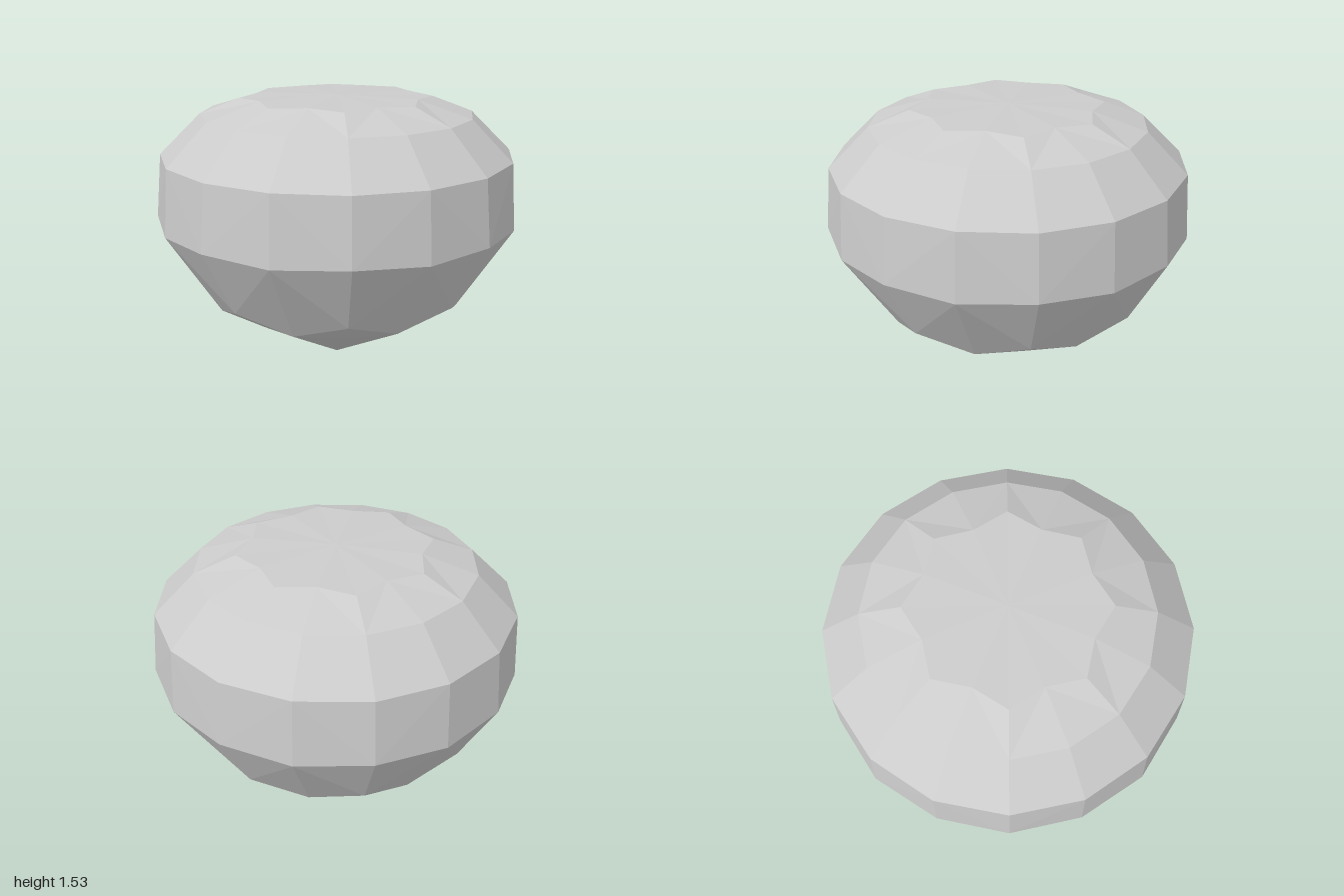
import * as THREE from 'three';

const SIDES = 16;

// Each ring: [radius, height] at even corners, then at odd corners.
const TIP = [0, 0, 0, 0];
const LOWER_CONE = [0.577, 0.315, 0.59, 0.342];
const KITE_EDGE = [0.705, 0.385, 0.8, 0.485];
const GIRDLE_LOW = [1, 0.845, 1.007, 0.86];
const GIRDLE_HIGH = [0.975, 1.21, 0.975, 1.21];
const CROWN = [0.752, 1.43, 0.752, 1.43];
const TABLE_EDGE = [0.455, 1.521, 0.53, 1.515];
const TABLE_CENTRE = [0, 1.53, 0, 1.53];

function corner(ring, k) {
  const i = (k % 2) * 2;
  const a = (k / SIDES) * Math.PI * 2;
  return [ring[i] * Math.sin(a), ring[i + 1], ring[i] * Math.cos(a)];
}

// Faceted band through consecutive rings, listed from bottom to top.
function band(name, rings, material) {
  const pos = [];
  for (let r = 0; r < rings.length - 1; r++) {
    const [lo, hi] = [rings[r], rings[r + 1]];
    for (let k = 0; k < SIDES; k++) {
      const a = corner(lo, k), b = corner(lo, k + 1);
      const c = corner(hi, k + 1), d = corner(hi, k);
      // mirror the diagonal on alternate facets
      const tris = k % 2 ? [[a, b, c], [a, c, d]] : [[a, b, d], [b, c, d]];
      for (const t of tris) {
        const [p, q, s] = t.map((v) => new THREE.Vector3(...v));
        const area = q.sub(p).cross(s.sub(p)).length();
        if (area > 1e-6) pos.push(...t.flat());
      }
    }
  }
  const geo = new THREE.BufferGeometry();
  geo.setAttribute('position', new THREE.Float32BufferAttribute(pos, 3));
  geo.computeVertexNormals();
  const mesh = new THREE.Mesh(geo, material);
  mesh.name = name;
  return mesh;
}

export function createModel() {
  const material = new THREE.MeshStandardMaterial({ color: 0xcccccc, flatShading: true });
  const gem = new THREE.Group();
  gem.name = 'gemstone';
  gem.add(
    // pointed underside of eight kites, then the steep facets above them
    band('pavilionTip', [TIP, LOWER_CONE, KITE_EDGE], material),
    band('pavilion', [KITE_EDGE, GIRDLE_LOW], material),
    // near-vertical belt
    band('girdle', [GIRDLE_LOW, GIRDLE_HIGH], material),
    // sloping shoulder and slightly domed top
    band('crown', [GIRDLE_HIGH, CROWN, TABLE_EDGE], material),
    band('table', [TABLE_EDGE, TABLE_CENTRE], material),
  );
  return gem;
}
